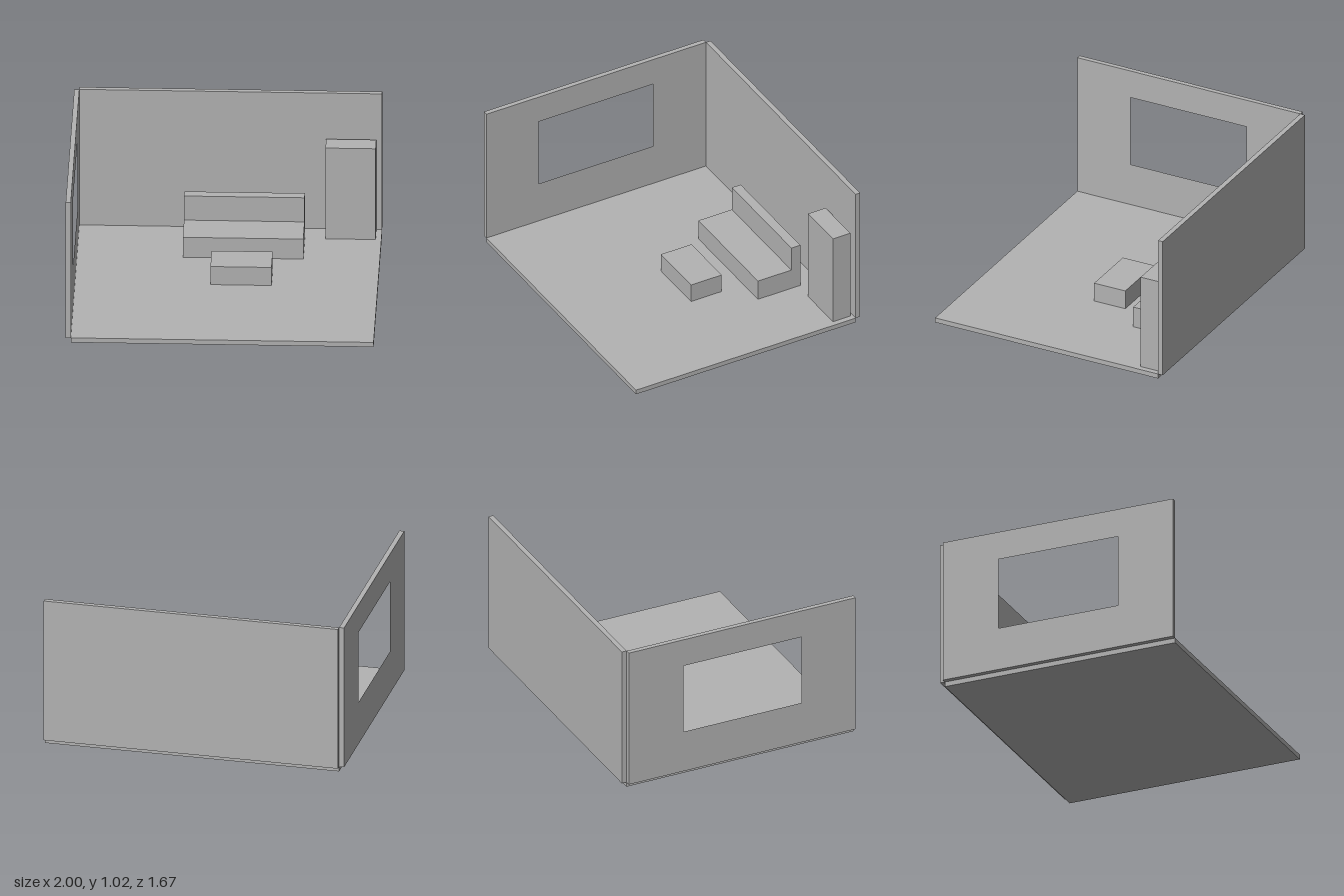
import * as THREE from 'three';

export function createModel() {
  const room = new THREE.Group();
  room.name = 'room';
  const grey = new THREE.MeshStandardMaterial({ color: 0xb2b2b2 });
  grey.name = 'plain grey';

  const add = (name, geometry) => {
    const mesh = new THREE.Mesh(geometry, grey);
    mesh.name = name;
    room.add(mesh);
  };

  // Box given by its lower and upper limits on each axis
  const box = (name, [x0, x1], [y0, y1], [z0, z1]) =>
    add(name, new THREE.BoxGeometry(x1 - x0, y1 - y0, z1 - z0)
      .translate((x0 + x1) / 2, (y0 + y1) / 2, (z0 + z1) / 2));

  // Side profile in (z, y), extruded along x from x0 to x1
  const sideProfile = (points, [x0, x1], hole) => {
    const toShape = (list) => list.map(([z, y]) => new THREE.Vector2(-z, y));
    const shape = new THREE.Shape(toShape(points));
    if (hole) shape.holes.push(new THREE.Path(toShape(hole)));
    return new THREE.ExtrudeGeometry(shape, { depth: x1 - x0, bevelEnabled: false })
      .rotateY(Math.PI / 2).translate(x0, 0, 0);
  };
  const rect = (z0, z1, y0, y1) => [[z0, y0], [z1, y0], [z1, y1], [z0, y1]];

  const ground = 0.033, top = 1.017;
  const inner = -0.967, back = -0.803, front = 0.837;

  // Floor slab and the two walls, meeting at an open corner
  box('floor', [inner, 1], [0, ground], [back, front]);
  box('backWall', [inner, 1], [ground, top], [-front, back]);
  add('windowWall', sideProfile(rect(back, front, ground, top), [-1, inner],
    rect(-0.407, 0.447, 0.328, 0.822)));

  // Sofa: one L-shaped block with seat and backrest
  add('sofa', sideProfile([
    [-0.672, ground], [-0.356, ground], [-0.356, 0.178],
    [-0.606, 0.178], [-0.606, 0.353], [-0.672, 0.353],
  ], [-0.28, 0.503]));

  // Low table and tall cabinet
  box('coffeeTable', [-0.087, 0.31], [ground, 0.164], [-0.195, 0.034]);
  box('cabinet', [0.637, 0.963], [ground, 0.692], [-0.785, -0.655]);

  return room;
}
